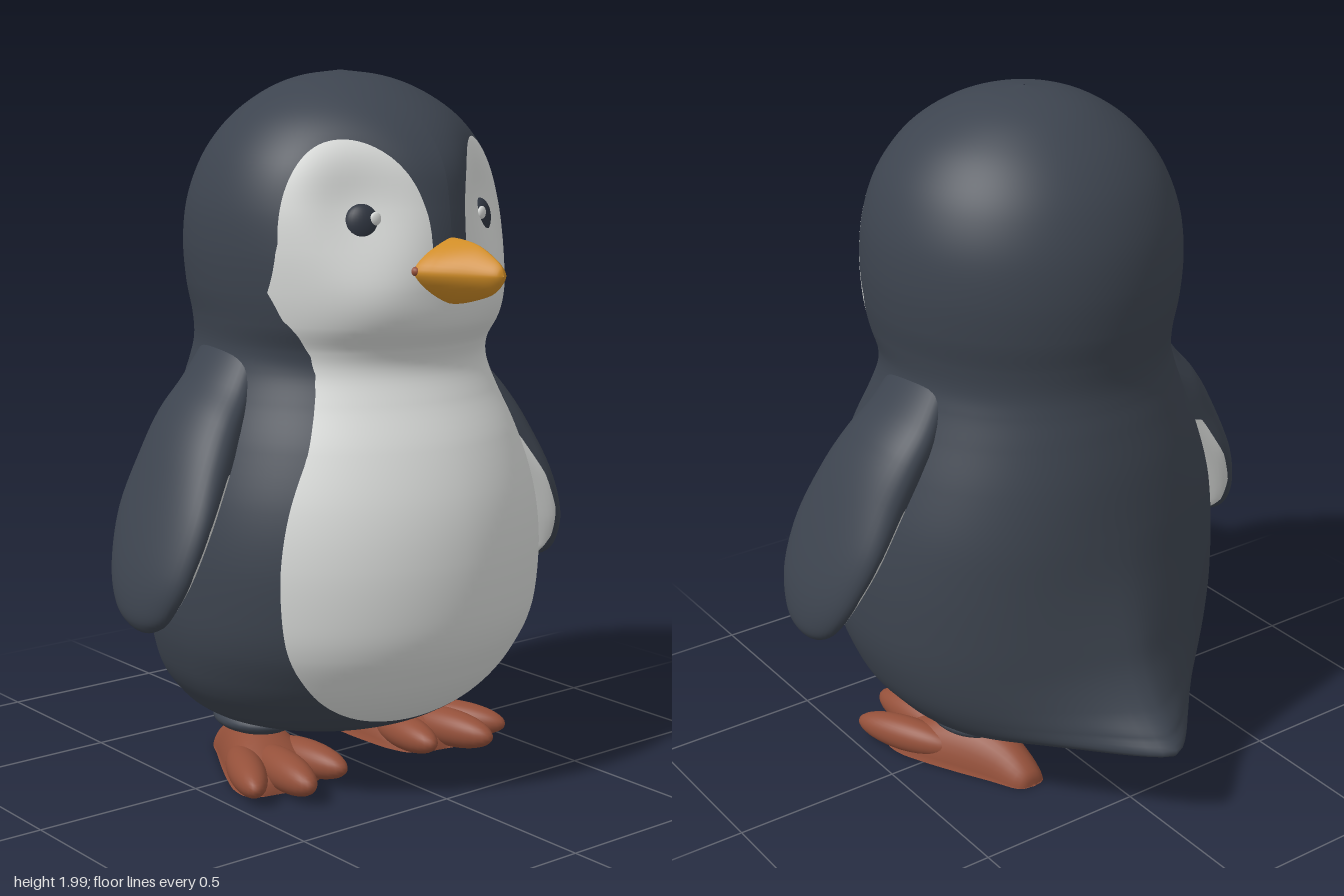
import * as THREE from 'three';
import { ParametricGeometry } from 'three/addons/geometries/ParametricGeometry.js';

const paint = (name, color) => {
  const m = new THREE.MeshStandardMaterial({ color });
  m.name = name;
  return m;
};

// Smooth interpolation through table rows; t runs from 0 to 1.
function sampler(rows) {
  const n = rows[0].length, curves = [];
  for (let k = 0; k < n; k += 3)
    curves.push(new THREE.CatmullRomCurve3(
      rows.map(r => new THREE.Vector3(r[k], r[k + 1] ?? 0, r[k + 2] ?? 0)), false, 'catmullrom', 0.5));
  return t => curves.flatMap(c => c.getPoint(t).toArray()).slice(0, n);
}

// Linear lookup in [key, value] pairs.
function lookup(pairs, k) {
  for (let i = 1; i < pairs.length; i++) {
    const [a, b] = [pairs[i - 1], pairs[i]];
    if (k <= b[0]) return THREE.MathUtils.mapLinear(Math.max(k, a[0]), a[0], b[0], a[1], b[1]);
  }
  return pairs[pairs.length - 1][1];
}

const power = (a, e) => Math.sign(a) * Math.abs(a) ** e;
const bump = (a, b) => Math.exp(-a * a - b * b);

// Cuts a surface along rule(x, y, z) = 0: group 0 is negative, group 1 positive.
function splitByRule(geo, rule) {
  const P = geo.attributes.position, N = geo.attributes.normal, idx = geo.index.array;
  const pos = [], nor = [], out = new THREE.BufferGeometry();
  const verts = Array.from({ length: P.count }, (_, i) => {
    const p = new THREE.Vector3().fromBufferAttribute(P, i);
    return { p, n: new THREE.Vector3().fromBufferAttribute(N, i), f: rule(p.x, p.y, p.z) };
  });
  [-1, 1].forEach((side, group) => {
    const start = pos.length / 3;
    for (let i = 0; i < idx.length; i += 3) {
      const poly = [];
      for (let k = 0; k < 3; k++) {
        const a = verts[idx[i + k]], b = verts[idx[i + (k + 1) % 3]];
        const inA = a.f >= 0 === side > 0, inB = b.f >= 0 === side > 0;
        if (inA) poly.push(a);
        if (inA !== inB) {
          const t = a.f / (a.f - b.f);
          poly.push({ p: a.p.clone().lerp(b.p, t), n: a.n.clone().lerp(b.n, t).normalize() });
        }
      }
      for (let k = 2; k < poly.length; k++)
        for (const v of [poly[0], poly[k - 1], poly[k]]) {
          pos.push(...v.p.toArray());
          nor.push(...v.n.toArray());
        }
    }
    out.addGroup(start, pos.length / 3 - start, group);
  });
  out.setAttribute('position', new THREE.Float32BufferAttribute(pos, 3));
  out.setAttribute('normal', new THREE.Float32BufferAttribute(nor, 3));
  return out;
}

// Head and body rows: y, half width, front z, back z, tail length.
const BODY = [
  [.135, .002, .002, -.002, 0], [.14, .15, .15, -.15, 0], [.155, .28, .24, -.25, .03],
  [.18, .36, .31, -.31, .07], [.21, .42, .365, -.35, .19], [.25, .46, .42, -.385, .31],
  [.3, .5, .47, -.415, .25], [.36, .53, .515, -.435, .17], [.45, .558, .565, -.445, .105],
  [.55, .57, .59, -.45, .07], [.7, .57, .598, -.45, .035], [.85, .547, .58, -.447, .015],
  [1, .5, .53, -.435, .005], [1.12, .453, .468, -.415, 0], [1.2, .425, .435, -.398, 0],
  [1.26, .414, .445, -.392, 0], [1.33, .424, .487, -.398, 0], [1.42, .441, .498, -.412, 0],
  [1.53, .45, .5, -.416, 0], [1.64, .442, .492, -.402, 0], [1.74, .412, .47, -.368, 0],
  [1.82, .366, .42, -.32, 0], [1.89, .3, .345, -.255, 0], [1.95, .207, .245, -.172, 0],
  [1.985, .112, .142, -.082, 0], [2, .002, .027, .023, 0],
];
const CHEEK = [
  [1, .375], [1.1, .335], [1.15, .318], [1.2, .307], [1.25, .315],
  [1.3, .345], [1.35, .38], [1.42, .405], [1.55, .397],
];

function bodyGeometry() {
  const row = sampler(BODY);
  const geo = new ParametricGeometry((u, v, p) => {
    const [y, w, front, back, tail] = row(v);
    const s = Math.sin(u * 2 * Math.PI), c = Math.cos(u * 2 * Math.PI);
    // the trunk is fuller behind than in front, the head is round
    const e = 1 + (c < 0 ? -.14 : .05) * (1 - THREE.MathUtils.smoothstep(y, .8, 1.3));
    const x = w * power(s, e), ax = Math.abs(x);
    let z = (front + back) / 2 + (front - back) / 2 * power(c, e);
    if (c < 0) z -= Math.max(0, tail) * Math.exp(-((ax / .24) ** 1.5)) * Math.min(1, -2 * c);
    // eye sockets and cheeks
    else z += c * (.02 * bump((ax - .24) / .12, (y - 1.4) / .09) - .075 * bump((ax - .235) / .13, (y - 1.67) / .15));
    p.set(x, y, z);
  }, 128, 125);
  // white belly, cheeks and two eye lobes
  return splitByRule(geo, (x, y, z) => {
    const ax = Math.abs(x);
    if (z < .05) return -.1;
    if (y < 1) return z - .36;
    if (y > 1.55) return .1 * (1 - ((ax - .227) / .168) ** 2 - ((y - 1.55) / .27) ** 2);
    return Math.min(lookup(CHEEK, y) - ax, y < 1.48 ? 1 : ax - .06);
  });
}

// Flipper rows: x, y, z, half depth, half thickness; the shoulder sinks into the body.
const FLIPPER = [
  [.35, 1.27, 0, .12, .04], [.42, 1.14, .005, .15, .062], [.485, 1.05, .015, .172, .075],
  [.545, .95, .03, .188, .078], [.62, .81, .045, .203, .066], [.675, .68, .06, .178, .057],
  [.702, .59, .065, .132, .046], [.703, .54, .07, .08, .034], [.693, .51, .07, .001, .001],
];
const LINING = [[.52, .69], [.6, .685], [.7, .66], [.81, .61], [.95, .52]];

function flipperGeometry(side) {
  const row = sampler(FLIPPER);
  const geo = new ParametricGeometry((u, v, p) => {
    const [x, y, z, depth, thick] = row(v);
    const a = row(Math.max(0, v - .01)), b = row(Math.min(1, v + .01));
    const dx = b[0] - a[0], dy = b[1] - a[1], l = Math.hypot(dx, dy);
    const t = side * u * 2 * Math.PI, o = thick * Math.cos(t);
    p.set(side * (x - o * dy / l), y + o * dx / l, z + depth * Math.sin(t));
  }, 40, 48);
  return splitByRule(geo, (x, y) => Math.min(lookup(LINING, y) - Math.abs(x), .94 - y));
}

// Beak rows: z, half width, top y, bottom y.
const BEAK = [
  [.4, .09, 1.55, 1.4], [.47, .118, 1.562, 1.388], [.53, .1, 1.562, 1.39], [.6, .066, 1.55, 1.405],
  [.66, .037, 1.522, 1.425], [.69, .018, 1.5, 1.45], [.7, .001, 1.476, 1.474],
];
function beakGeometry() {
  const row = sampler(BEAK);
  return new ParametricGeometry((u, v, p) => {
    const [z, w, top, bottom] = row(v);
    const c = Math.cos(u * 2 * Math.PI), s = Math.sin(u * 2 * Math.PI), mid = 1.475;
    p.set(w * power(c, 1.6), mid + (s > 0 ? top - mid : mid - bottom) * power(s, 1.25), z);
  }, 40, 30);
}

// Foot rows: z, x, half width, height; the sole is flat, the heel narrow and turned in.
const FOOT = [
  [-.295, .195, .002, .002], [-.28, .197, .045, .05], [-.2, .21, .075, .105], [-.1, .235, .105, .14],
  [0, .262, .128, .14], [.09, .285, .14, .105], [.16, .298, .115, .06], [.19, .302, .002, .002],
];
function footGeometry(side) {
  const row = sampler(FOOT);
  return new ParametricGeometry((u, v, p) => {
    const [z, x, w, h] = row(v);
    const t = side * u * 2 * Math.PI;
    p.set(side * (x + w * Math.cos(t)), Math.max(.006, h * Math.sin(t)), z);
  }, 32, 28);
}

export function createModel() {
  const model = new THREE.Group();
  model.name = 'penguin';
  const navy = paint('navy feathers', 0x3d444f), white = paint('white feathers', 0xd8dad8);
  const amber = paint('amber beak', 0xcf8c26), rust = paint('rust feet', 0x94503a);
  const eyeDark = paint('dark eye', 0x2f3540);

  const add = (name, geo, mat, parent = model) => {
    const m = new THREE.Mesh(geo, mat);
    m.name = name;
    parent.add(m);
    return m;
  };
  const ball = (name, mat, at, radii, turn = 0, parent = model) => {
    const m = add(name, new THREE.SphereGeometry(1, 28, 20), mat, parent);
    m.position.set(...at);
    m.scale.set(...radii);
    m.rotation.y = turn;
  };

  add('body', bodyGeometry(), [navy, white]);
  add('beak', beakGeometry(), amber);

  for (const s of [1, -1]) {
    const label = s > 0 ? 'left' : 'right';
    add(label + 'Flipper', flipperGeometry(s), [navy, white]);
    ball(label + 'Eye', eyeDark, [s * .208, 1.598, .374], [.05, .056, .032], s * .5);
    ball(label + 'EyeGlint', white, [s * .188, 1.616, .409], [.016, .018, .008], s * .2);
    ball(label + 'MouthCorner', rust, [s * .11, 1.478, .475], [.014, .014, .02]);
    ball(label + 'Leg', navy, [s * .255, .16, -.05], [.11, .042, .14]);

    // foot with three splayed toes
    const foot = new THREE.Group();
    foot.name = label + 'Foot';
    model.add(foot);
    add('footPad', footGeometry(s), rust, foot);
    ball('innerToe', rust, [s * .185, .058, .1], [.054, .052, .16], s * -.12, foot);
    ball('middleToe', rust, [s * .305, .062, .155], [.056, .056, .17], s * .17, foot);
    ball('outerToe', rust, [s * .388, .058, .09], [.052, .052, .17], s * .45, foot);
  }
  return model;
}
